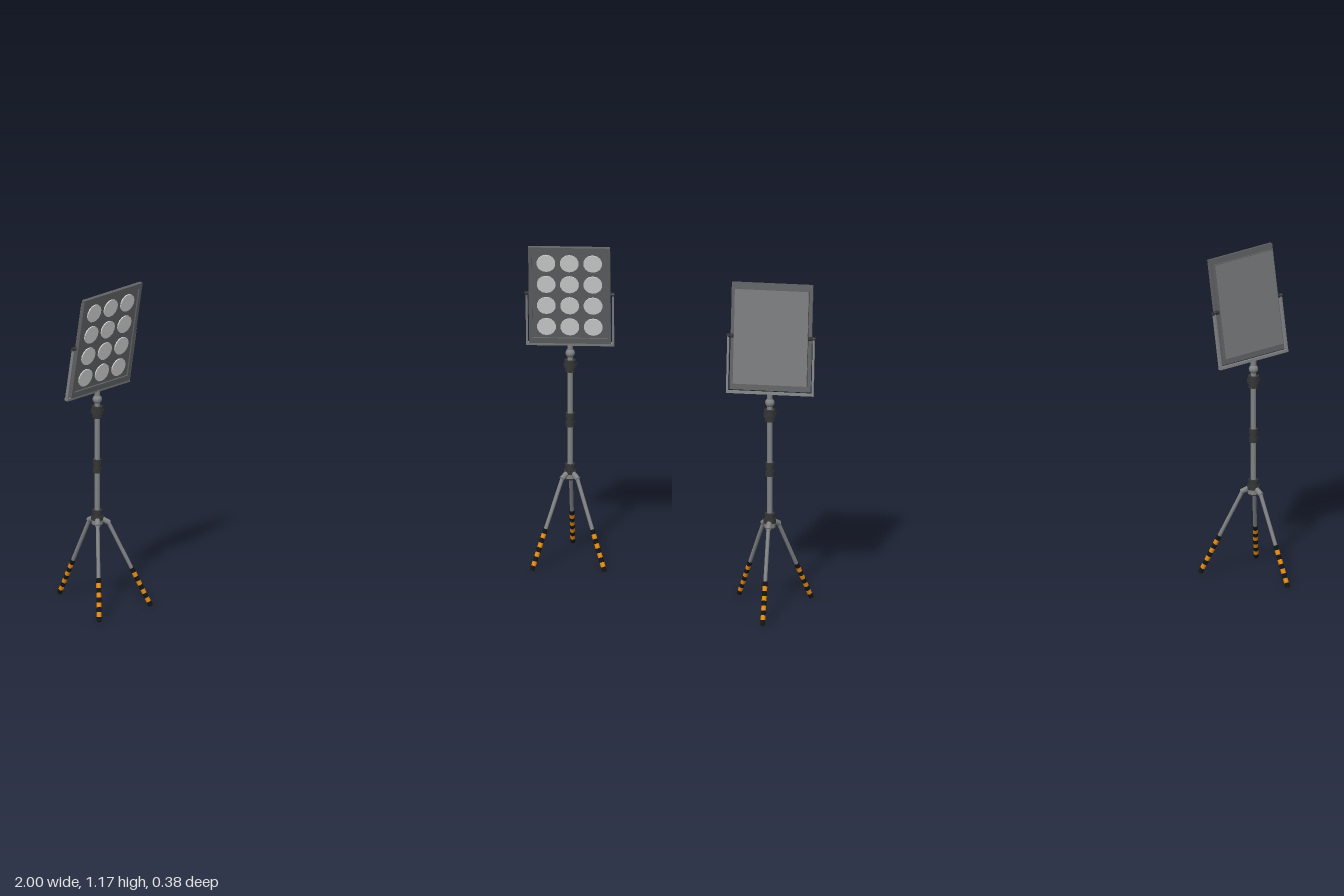
import * as THREE from 'three';

const mat = (name, color) => {
  const m = new THREE.MeshStandardMaterial({ color });
  m.name = name;
  return m;
};

export function createModel() {
  const steel = mat('steel grey', 0x808284);
  const housingGrey = mat('housing grey', 0x606163);
  const backGrey = mat('back panel grey', 0x77797b);
  const collarDark = mat('collar dark grey', 0x343536);
  const lensGrey = mat('lens pale grey', 0xd2d3d3);
  const black = mat('stripe black', 0x141414);
  const orange = mat('stripe orange', 0xe68c14);

  const add = (parent, name, geometry, material, x = 0, y = 0, z = 0) => {
    const m = new THREE.Mesh(geometry, material);
    m.name = name;
    m.position.set(x, y, z);
    parent.add(m);
    return m;
  };
  const group = (parent, name) => {
    const g = new THREE.Group();
    g.name = name;
    parent.add(g);
    return g;
  };
  const vec = (x, y, z) => new THREE.Vector3(x, y, z);
  // Cylinder between two points
  const rod = (parent, name, a, b, r, material, sides = 12) => {
    const dir = b.clone().sub(a);
    const m = add(parent, name, new THREE.CylinderGeometry(r, r, dir.length(), sides), material);
    m.position.copy(a).lerp(b, 0.5);
    m.quaternion.setFromUnitVectors(vec(0, 1, 0), dir.normalize());
  };
  // Upright stack of rings: [radius, bottom, top]
  const rings = (parent, name, list, material) => list.forEach(([r, y0, y1]) =>
    add(parent, name, new THREE.CylinderGeometry(r, r, y1 - y0, 16), material, 0, (y0 + y1) / 2));
  // Rectangular frame with a hole, extruded along z
  const frameGeometry = (w, h, bx, by, depth) => {
    const rect = (Type, a, b) => new Type([[-a, -b], [a, -b], [a, b], [-a, b]].map(p => new THREE.Vector2(...p)));
    const s = rect(THREE.Shape, w / 2, h / 2);
    s.holes.push(rect(THREE.Path, w / 2 - bx, h / 2 - by));
    return new THREE.ExtrudeGeometry(s, { depth, bevelEnabled: false });
  };

  function tripod(parent) {
    const g = group(parent, 'tripod');
    rod(g, 'pole', vec(0, 0.3, 0), vec(0, 0.75, 0), 0.0095, steel, 16);
    rings(g, 'topCollar', [[0.018, 0.69, 0.712], [0.023, 0.707, 0.719], [0.02, 0.719, 0.732]], collarDark);
    rings(g, 'middleCollar', [[0.016, 0.49, 0.507], [0.013, 0.507, 0.522], [0.016, 0.522, 0.538]], collarDark);
    rings(g, 'baseCollar', [[0.013, 0.295, 0.318], [0.022, 0.318, 0.332], [0.018, 0.332, 0.353]], collarDark);
    rings(g, 'hub', [[0.02, 0.302, 0.318]], steel);

    for (const deg of [180, 43, -43]) {
      const leg = group(g, 'leg');
      leg.rotation.y = THREE.MathUtils.degToRad(deg);
      rod(leg, 'legHinge', vec(0, 0.322, 0.014), vec(0, 0.306, 0.042), 0.0095, steel);
      const top = vec(0, 0.312, 0.036);
      const foot = vec(0, 0.005, 0.185);
      const at = t => foot.clone().lerp(top, t);
      rod(leg, 'legTube', at(0.4), top, 0.0068, steel);
      // Warning bands on the lower leg
      const bands = 9, reach = 0.445;
      for (let i = 0; i < bands; i++)
        rod(leg, i % 2 ? 'orangeBand' : 'blackBand', at(i * reach / bands), at((i + 1) * reach / bands),
          0.0085, i % 2 ? orange : black);
    }
  }

  function lampHead(parent) {
    // Swivel joint
    add(parent, 'swivelBall', new THREE.SphereGeometry(0.0165, 16, 10), steel, 0, 0.757, 0);
    rod(parent, 'swivelNeck', vec(0, 0.765, 0), vec(0, 0.79, 0), 0.01, steel);

    const head = group(parent, 'lampHead');
    head.position.y = 0.79;
    head.rotation.x = THREE.MathUtils.degToRad(10);
    const midY = 0.197;

    // U-shaped bracket
    add(head, 'bracketBase', new THREE.BoxGeometry(0.306, 0.009, 0.015), steel, 0, 0.001, 0);
    for (const s of [-1, 1]) {
      add(head, 'bracketArm', new THREE.BoxGeometry(0.007, 0.203, 0.012), steel, s * 0.1495, 0.1, 0);
      rod(head, 'tiltKnob', vec(s * 0.12, midY, 0), vec(s * 0.156, midY, 0), 0.007, collarDark);
    }

    // Thin front frame with a narrower body behind it
    const panel = group(head, 'lampPanel');
    panel.position.y = midY;
    const W = 0.284, H = 0.376;
    add(panel, 'frontFrame', frameGeometry(W, H, 0.012, 0.02, 0.013), housingGrey, 0, 0, 0.001);
    add(panel, 'housing', new THREE.BoxGeometry(W - 0.024, H - 0.04, 0.019), housingGrey, 0, 0, -0.0015);
    add(panel, 'backPanel', new THREE.BoxGeometry(W - 0.026, H - 0.044, 0.003), backGrey, 0, 0, -0.0115);

    // Grid of round lenses
    const lens = new THREE.CylinderGeometry(0.033, 0.033, 0.005, 14).rotateX(Math.PI / 2);
    for (let row = 0; row < 4; row++)
      for (let col = 0; col < 3; col++)
        add(panel, 'lens', lens, lensGrey, (col - 1) * 0.081, (row - 1.5) * 0.083, 0.0095);
  }

  const model = new THREE.Group();
  model.name = 'floodlightPair';
  for (const [name, x, z, yaw] of [['rightFloodlight', -0.862, 0.006, 28.6], ['leftFloodlight', 0.85, -0.009, -19.3]]) {
    const light = group(model, name);
    light.position.set(x, 0, z);
    light.rotation.y = THREE.MathUtils.degToRad(yaw);
    tripod(light);
    lampHead(light);
  }
  return model;
}
